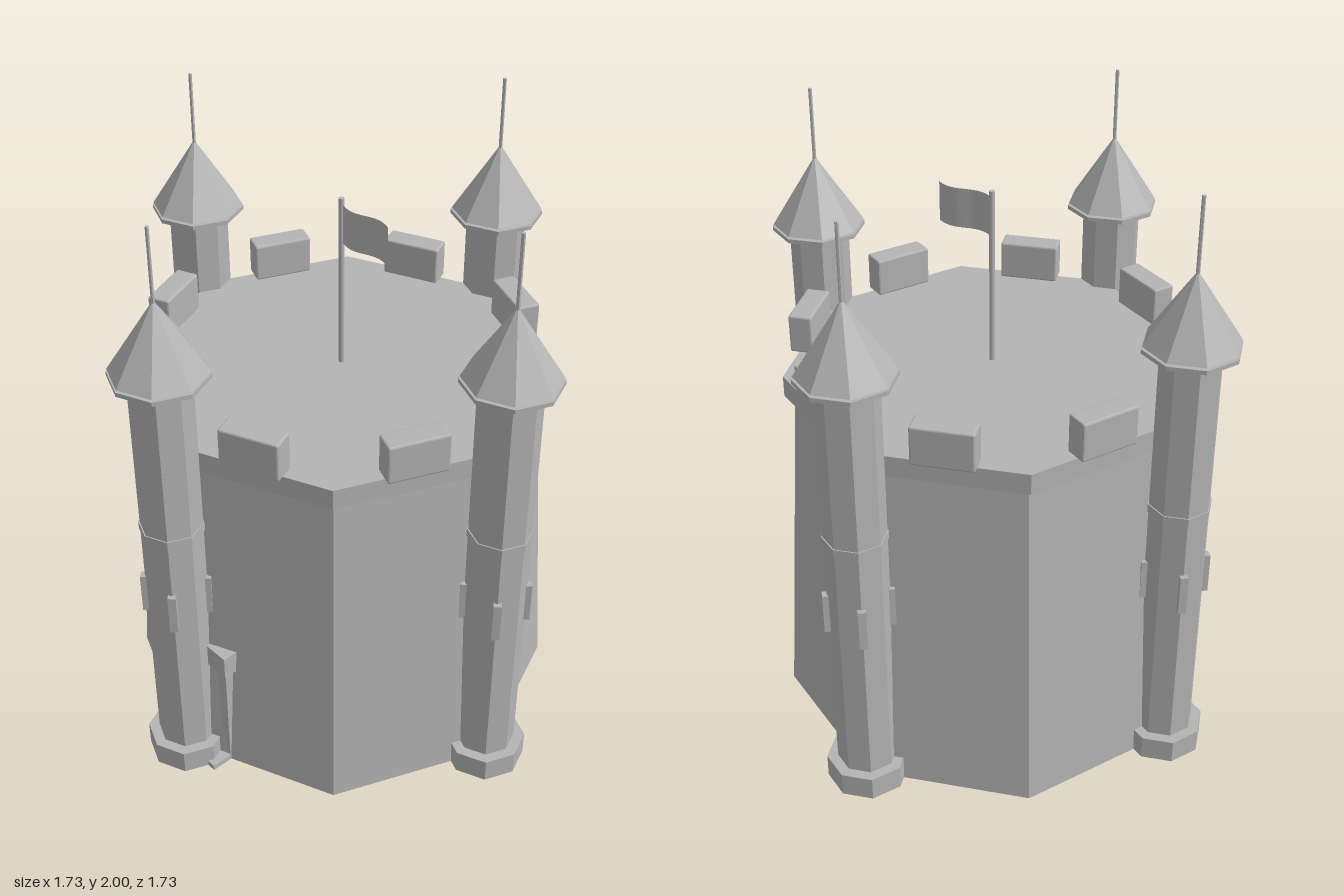
import * as THREE from 'three';
import { RoundedBoxGeometry } from 'three/addons/geometries/RoundedBoxGeometry.js';

export function createModel() {
  const castle = new THREE.Group();
  castle.name = 'castle';
  const stone = new THREE.MeshStandardMaterial({ color: 0xb4b4b4, flatShading: true });
  stone.name = 'stone grey';
  const cloth = new THREE.MeshStandardMaterial({ color: 0xb4b4b4, side: THREE.DoubleSide });
  cloth.name = 'cloth grey';

  function add(parent, name, geometry, x = 0, y = 0, z = 0, material = stone) {
    const mesh = new THREE.Mesh(geometry, material);
    mesh.name = name;
    mesh.position.set(x, y, z);
    parent.add(mesh);
    return mesh;
  }
  // Prism or frustum standing between two heights
  function prism(parent, name, rBottom, rTop, y0, y1, sides = 8) {
    return add(parent, name, new THREE.CylinderGeometry(rTop, rBottom, y1 - y0, sides), 0, (y0 + y1) / 2, 0);
  }
  // Box given by its limits
  function block(parent, name, x0, x1, y0, y1, z0, z1) {
    return add(parent, name, new THREE.BoxGeometry(x1 - x0, y1 - y0, z1 - z0),
      (x0 + x1) / 2, (y0 + y1) / 2, (z0 + z1) / 2);
  }

  // Tapered octagonal keep with its overhanging roof slab
  prism(castle, 'keep', 0.72, 0.636, 0, 1.175);
  prism(castle, 'roofSlab', 0.67, 0.67, 1.175, 1.245);

  // One merlon in the middle of each wall
  for (let i = 0; i < 8; i++) {
    const a = (i + 0.5) * Math.PI / 4;
    const merlon = add(castle, 'merlon', new RoundedBoxGeometry(0.197, 0.13, 0.077, 1, 0.006),
      0.61 * Math.sin(a), 1.31, 0.61 * Math.cos(a));
    merlon.rotation.y = a;
  }

  // Corner towers on the four axes
  for (let i = 0; i < 4; i++) {
    const a = i * Math.PI / 2;
    const tower = new THREE.Group();
    tower.name = 'tower';
    tower.position.set(0.71 * Math.sin(a), 0, 0.71 * Math.cos(a));
    castle.add(tower);
    prism(tower, 'towerBase', 0.134, 0.134, 0, 0.083);
    prism(tower, 'towerShaft', 0.098, 0.098, 0.083, 1.52);
    prism(tower, 'towerBand', 0.102, 0.102, 0.95, 0.978);
    prism(tower, 'towerEave', 0.153, 0.153, 1.517, 1.531);
    prism(tower, 'towerRoof', 0.15, 0, 1.538, 1.77);
    prism(tower, 'spire', 0.006, 0.006, 1.52, 2, 6);
    // Raised arrow slits on the diagonals
    for (let j = 0; j < 4; j++) {
      const b = (j + 0.5) * Math.PI / 2;
      const slit = add(tower, 'arrowSlit', new THREE.BoxGeometry(0.026, 0.14, 0.02),
        0.102 * Math.sin(b), 0.69, 0.102 * Math.cos(b));
      slit.rotation.y = b;
    }
  }

  // Gateway behind the front tower
  block(castle, 'gateLintel', -0.167, 0.167, 0.4, 0.48, 0.56, 0.668);
  for (const s of [-1, 1]) {
    add(castle, 'gateJamb', new THREE.BoxGeometry(0.038, 0.4, 0.1), s * 0.138, 0.2, 0.608);
  }
  block(castle, 'gateStep', -0.157, 0.157, 0, 0.02, 0.56, 0.73);

  // Flagpole and gently waving flag
  prism(castle, 'flagpole', 0.009, 0.009, 1.24, 1.83, 8);
  const flag = new THREE.PlaneGeometry(0.195, 0.13, 12, 1);
  const p = flag.attributes.position;
  for (let i = 0; i < p.count; i++) {
    const t = p.getX(i) / 0.195 + 0.5;
    p.setZ(i, 0.012 * Math.sin(t * Math.PI * 2));
  }
  flag.computeVertexNormals();
  add(castle, 'flag', flag, 0.1025, 1.745, 0, cloth);

  return castle;
}
